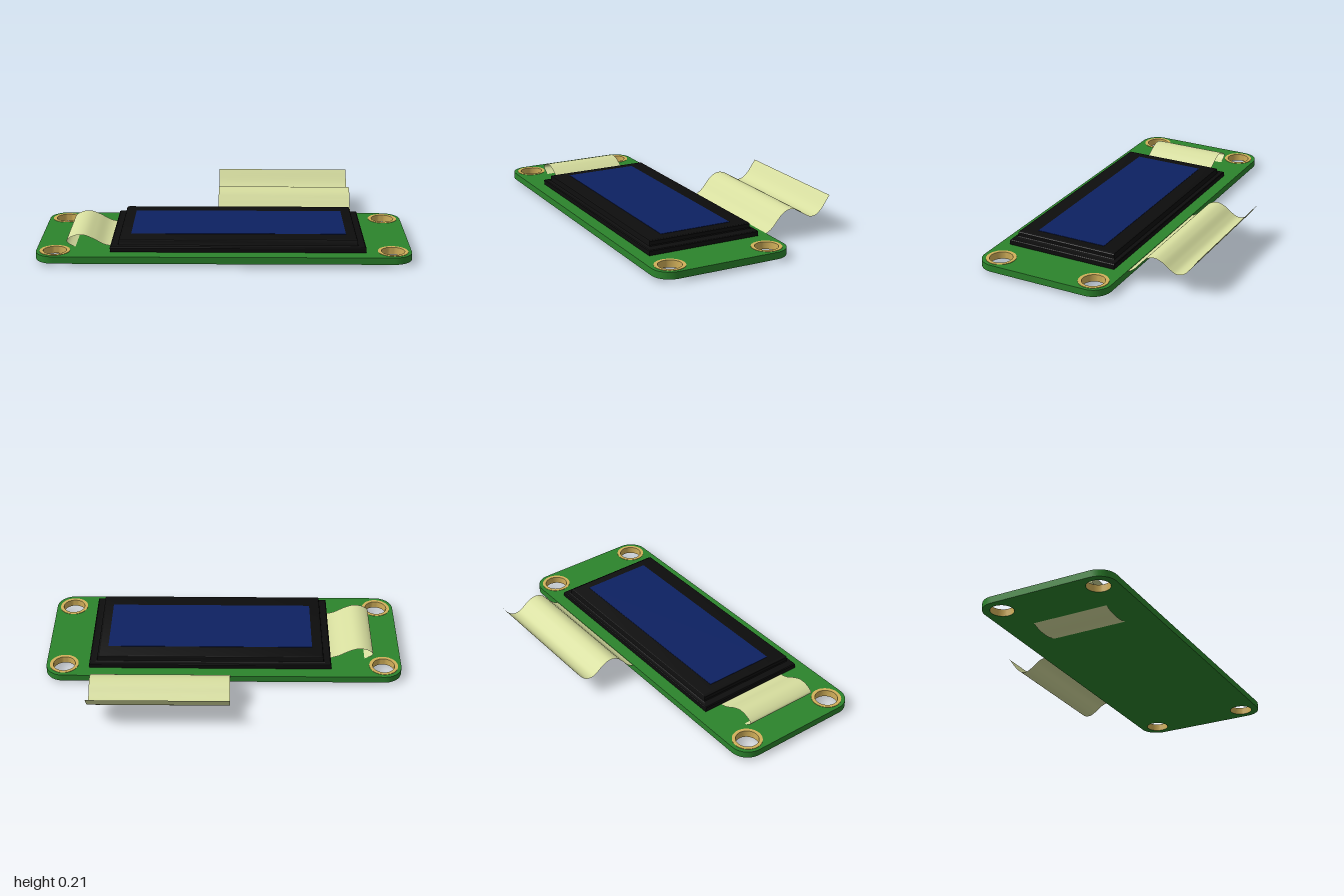
import * as THREE from 'three';
import { toCreasedNormals } from 'three/addons/utils/BufferGeometryUtils.js';

const material = (name, color, side = THREE.FrontSide) => {
  const m = new THREE.MeshStandardMaterial({ color, side });
  m.name = name;
  return m;
};

export function createModel() {
  const green = material('board green', 0x2c842c);
  const gold = material('gold', 0xd2b05a, THREE.DoubleSide);
  const black = material('black', 0x0d0d0d);
  const blue = material('screen blue', 0x0d2162);
  const cream = material('ribbon cream', 0xd6dd9e, THREE.DoubleSide);

  const model = new THREE.Group();
  model.name = 'displayModule';
  const add = (name, geometry, mat, x = 0, y = 0, z = 0) => {
    const mesh = new THREE.Mesh(geometry, mat);
    mesh.name = name;
    mesh.position.set(x, y, z);
    model.add(mesh);
    return mesh;
  };

  // Circuit board: rounded rectangle with four mounting holes
  const midZ = 0.197, halfZ = 0.383, corner = 0.1;
  const bottom = 0.017, top = 0.055, holeR = 0.062;
  const holes = [];
  for (const sx of [-1, 1]) for (const sz of [-1, 1]) holes.push([sx * 0.9, sz * 0.28]);

  const outline = new THREE.Shape();
  const cx = 1 - corner, cy = halfZ - corner;
  outline.absarc(cx, cy, corner, 0, Math.PI / 2);
  outline.absarc(-cx, cy, corner, Math.PI / 2, Math.PI);
  outline.absarc(-cx, -cy, corner, Math.PI, Math.PI * 1.5);
  outline.absarc(cx, -cy, corner, Math.PI * 1.5, Math.PI * 2);
  for (const [x, z] of holes) {
    const hole = new THREE.Path();
    hole.absarc(x, z, holeR + 0.001, 0, Math.PI * 2, true);
    outline.holes.push(hole);
  }
  const board = new THREE.ExtrudeGeometry(outline, {
    depth: top - bottom, bevelEnabled: false, curveSegments: 24,
  }).rotateX(-Math.PI / 2);
  add('circuitBoard', toCreasedNormals(board, 0.6), green, 0, bottom, midZ);

  // Plated hole linings with a ring on the upper face
  const lining = toCreasedNormals(new THREE.LatheGeometry([
    [holeR, bottom], [holeR, top + 0.002], [0.081, top + 0.002], [0.081, top],
  ].map(([r, y]) => new THREE.Vector2(r, y)), 40), 0.6);
  for (const [x, z] of holes) add('holeLining', lining, gold, x, 0, midZ + z);

  // Stepped screen casing: rectangular sections, each [inset, height]
  const sections = [
    [0, 0.06], [0, 0.084], [0.003, 0.088], [0.018, 0.089], [0.023, 0.092],
    [0.025, 0.097], [0.025, 0.117], [0.027, 0.121], [0.032, 0.1235],
  ];
  const positions = [], index = [];
  for (const [inset, y] of sections) {
    // The long ends step in about twice as far as the sides
    const hx = 0.679 - inset * 1.8, hz = 0.319 - inset;
    positions.push(hx, y, hz, hx, y, -hz, -hx, y, -hz, -hx, y, hz);
  }
  for (let s = 0; s < sections.length - 1; s++) {
    for (let i = 0; i < 4; i++) {
      const a = s * 4 + i, b = s * 4 + (i + 1) % 4;
      index.push(a, b, a + 4, b, b + 4, a + 4);
    }
  }
  const t = (sections.length - 1) * 4;
  index.push(t, t + 1, t + 2, t, t + 2, t + 3, 0, 2, 1, 0, 3, 2);
  const casing = new THREE.BufferGeometry();
  casing.setAttribute('position', new THREE.Float32BufferAttribute(positions, 3));
  casing.setIndex(index);
  add('screenCasing', toCreasedNormals(casing, 0.5), black, 0.076, 0, 0.197);

  // Display window
  add('displayWindow', new THREE.BoxGeometry(1.152, 0.004, 0.404), blue, 0.078, 0.1235, 0.196);

  // Thin ribbon swept sideways along a smooth path of [distance, height]
  const ribbon = (name, path, width) => {
    const curve = new THREE.CatmullRomCurve3(
      path.map(([d, y]) => new THREE.Vector3(d, y, 0)), false, 'centripetal');
    const steps = 80;
    const points = curve.getPoints(steps);
    const geometry = new THREE.PlaneGeometry(1, 1, 1, steps);
    const pos = geometry.attributes.position;
    for (let i = 0; i < pos.count; i++) {
      const p = points[Math.floor(i / 2)];
      pos.setXYZ(i, p.x, p.y, (i % 2 ? 0.5 : -0.5) * width);
    }
    geometry.computeVertexNormals();
    return add(name, geometry, cream);
  };

  // Side ribbon: out from the casing, over a loop and down through the board
  const side = ribbon('sideRibbon', [
    [-0.3, 0.0575], [-0.58, 0.0585], [-0.64, 0.068], [-0.7, 0.1], [-0.75, 0.12],
    [-0.79, 0.12], [-0.83, 0.104], [-0.845, 0.088], [-0.83, 0.07],
    [-0.77, 0.045], [-0.7, 0.017], [-0.645, 0.003], [-0.595, 0], [-0.54, 0.004], [-0.48, 0.02],
  ], 0.43);
  side.position.z = 0.2;

  // Rear ribbon: wave rising behind the board
  const rear = ribbon('rearRibbon', [
    [0.15, 0.045], [0.19, 0.053], [0.225, 0.075], [0.26, 0.115], [0.295, 0.15],
    [0.34, 0.165], [0.385, 0.152], [0.43, 0.12], [0.465, 0.103],
    [0.5, 0.107], [0.53, 0.13], [0.585, 0.205],
  ], 0.765);
  rear.rotation.y = Math.PI / 2;
  rear.position.x = 0.345;

  return model;
}
